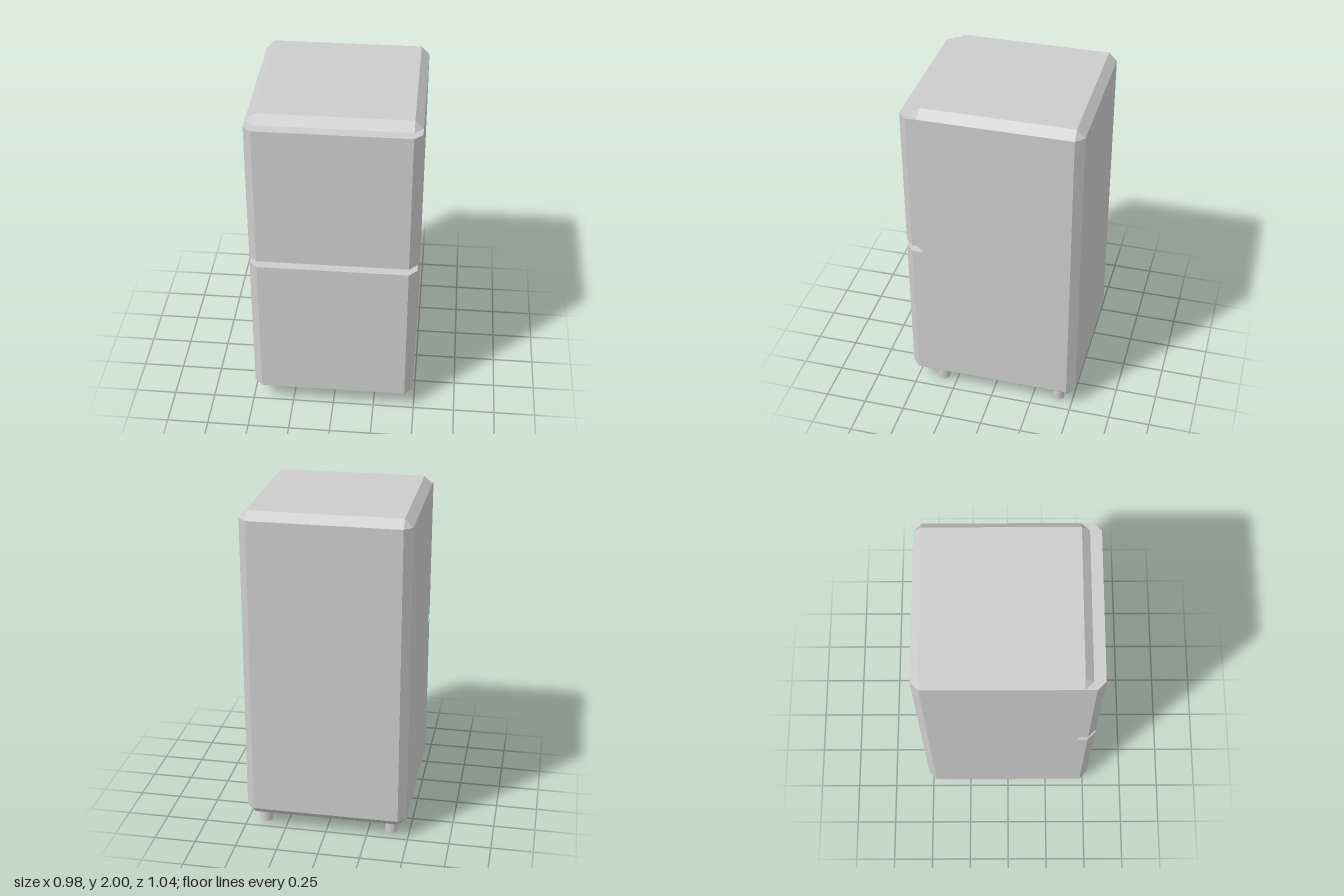
import * as THREE from 'three';
import { ConvexGeometry } from 'three/addons/geometries/ConvexGeometry.js';

const material = new THREE.MeshStandardMaterial({ color: 0xcccccc, flatShading: true });
const smooth = new THREE.MeshStandardMaterial({ color: 0xcccccc });

const W = 0.489;      // half width
const BEVEL = 0.048;  // chamfer on every edge
const BODY_Z = -0.033; // centre of the cabinet in depth

// Box with chamfered edges and triangular corners
function chamferedBox(hx, hy, hz, c) {
  const points = [];
  for (const x of [-1, 1]) for (const y of [-1, 1]) for (const z of [-1, 1]) {
    points.push(
      new THREE.Vector3(x * hx, y * (hy - c), z * (hz - c)),
      new THREE.Vector3(x * (hx - c), y * hy, z * (hz - c)),
      new THREE.Vector3(x * (hx - c), y * (hy - c), z * hz));
  }
  return new ConvexGeometry(points);
}

// Door slab with chamfered front corners, from height y0 to y1
function doorGeometry(y0, y1) {
  const back = 0.408, front = 0.522;
  const shape = new THREE.Shape([
    [-W, back], [W, back], [W, front - BEVEL], [W - BEVEL, front],
    [BEVEL - W, front], [-W, front - BEVEL],
  ].map(([x, z]) => new THREE.Vector2(x, -z)));
  return new THREE.ExtrudeGeometry(shape, { depth: y1 - y0, bevelEnabled: false })
    .rotateX(-Math.PI / 2).translate(0, y0, 0);
}

export function createModel() {
  const group = new THREE.Group();
  const add = (name, geometry, mat = material) => {
    const mesh = new THREE.Mesh(geometry, mat);
    mesh.name = name;
    group.add(mesh);
    return mesh;
  };

  // Cabinet
  add('cabinet', chamferedBox(W, 0.9585, 0.489, BEVEL)).position.set(0, 1.0415, BODY_Z);

  // Two doors with a grip gap between them
  add('upperDoor', doorGeometry(1.085, 1.952));
  add('lowerDoor', doorGeometry(0.131, 1.043));

  // Four round feet
  for (const x of [-1, 1]) for (const z of [-1, 1]) {
    const name = (z > 0 ? 'front' : 'back') + (x > 0 ? 'Left' : 'Right') + 'Foot';
    add(name, new THREE.CylinderGeometry(0.037, 0.037, 0.084, 32), smooth)
      .position.set(x * 0.39, 0.042, BODY_Z + z * 0.373);
  }
  return group;
}
